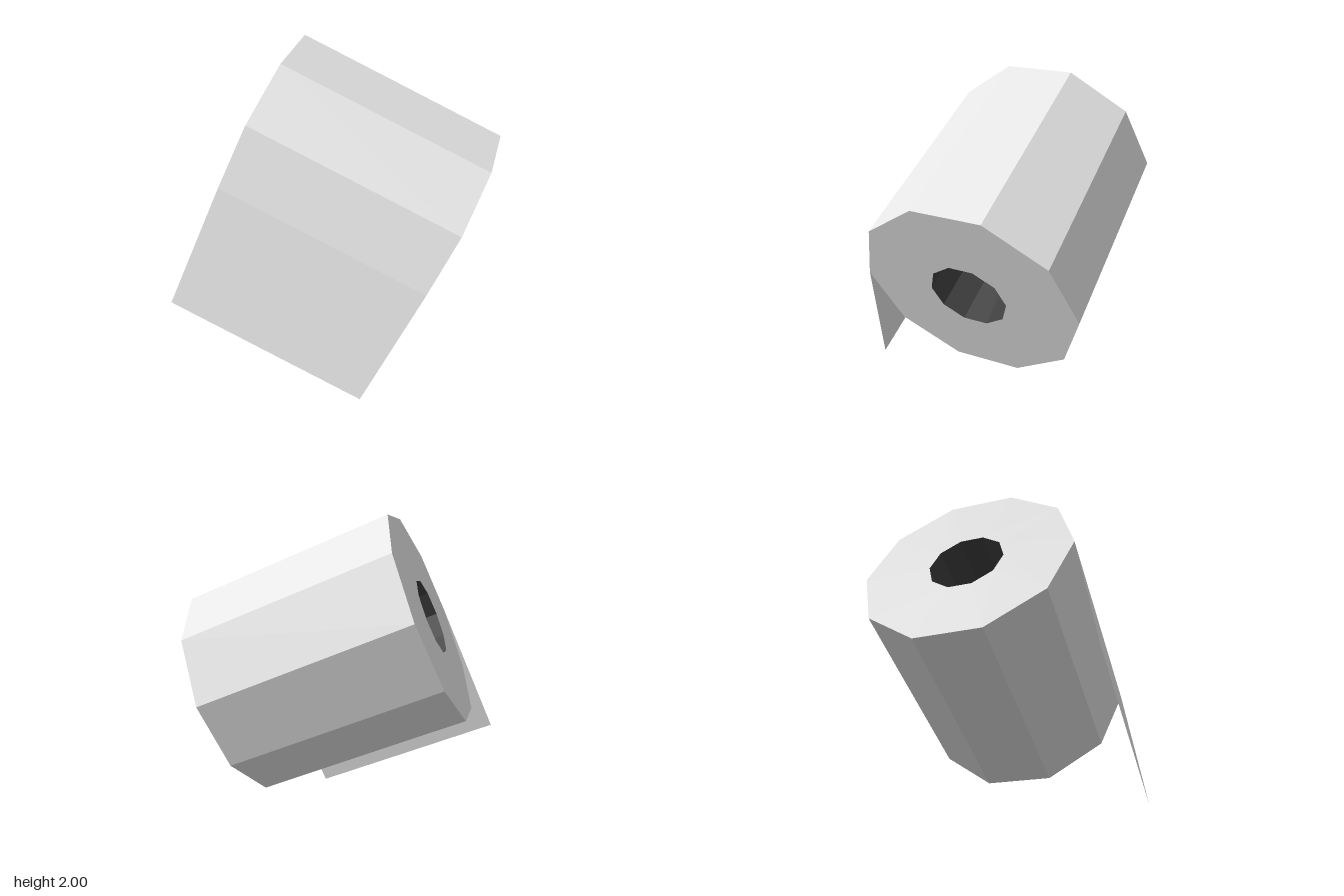
import * as THREE from 'three';

const SIDES = 10;
const LENGTH = 1.39;
const OUTER = 0.697;
const INNER = 0.248;

export function createModel() {
  const paper = new THREE.MeshStandardMaterial({ color: 0xe7e7e7, flatShading: true, side: THREE.DoubleSide });
  paper.name = 'white paper';
  const cardboard = new THREE.MeshStandardMaterial({ color: 0x404040, flatShading: true, side: THREE.DoubleSide });
  cardboard.name = 'dark core';

  const model = new THREE.Group();
  model.name = 'paperRoll';

  // Everything is built along x, then the whole roll is tilted
  const roll = new THREE.Group();
  roll.name = 'tiltedRoll';
  roll.position.set(0.05, 1.13, -0.092);
  roll.rotation.z = -Math.atan2(0.515, 1.29);
  model.add(roll);

  const add = (name, geometry, material) => {
    const mesh = new THREE.Mesh(geometry, material);
    mesh.name = name;
    roll.add(mesh);
    return mesh;
  };
  const tube = (radius) =>
    new THREE.CylinderGeometry(radius, radius, LENGTH, SIDES, 1, true).rotateZ(Math.PI / 2);

  // Wound paper and the hollow core
  add('rollSurface', tube(OUTER), paper);
  add('core', tube(INNER), cardboard);

  // Ring-shaped ends
  for (const side of [1, -1]) {
    const ring = new THREE.RingGeometry(INNER, OUTER, SIDES, 1).rotateY(side * Math.PI / 2);
    add(side > 0 ? 'leftEnd' : 'rightEnd', ring, paper).position.x = side * LENGTH / 2;
  }

  // Loose sheet hanging from the front edge
  const drop = 0.933, flare = 0.185;
  const sheet = new THREE.PlaneGeometry(LENGTH, Math.hypot(drop, flare));
  sheet.translate(0, -Math.hypot(drop, flare) / 2, 0).rotateX(-Math.atan2(flare, drop));
  add('looseSheet', sheet, paper).position.z = OUTER;

  return model;
}
